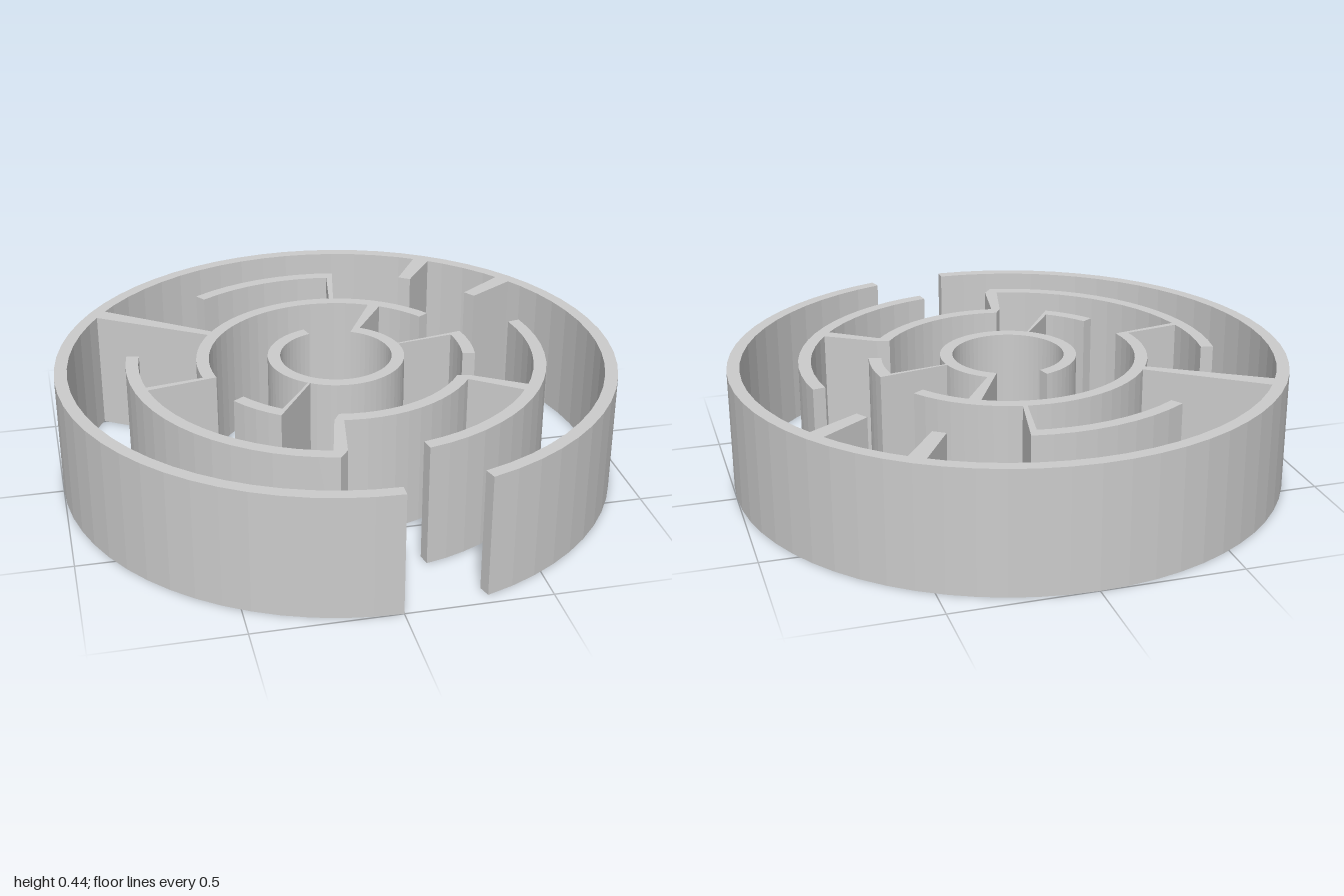
import * as THREE from 'three';

const HEIGHT = 0.44;
const STEP = 5.625; // one facet of the 64-sided rings, in degrees
const HALF = 1.875; // half the angular width of a dividing wall
const material = new THREE.MeshStandardMaterial({ color: 0xcccccc, flatShading: true });

// Angles run from +x towards +z (clockwise seen from above).
const polar = (r, deg) => {
  const a = THREE.MathUtils.degToRad(deg);
  return new THREE.Vector2(r * Math.cos(a), r * Math.sin(a));
};

// Raises a plan outline (x, z) into a wall standing on y = 0.
function wall(name, points) {
  const geometry = new THREE.ExtrudeGeometry(new THREE.Shape(points), { depth: HEIGHT, bevelEnabled: false });
  geometry.rotateX(Math.PI / 2).translate(0, HEIGHT, 0);
  const mesh = new THREE.Mesh(geometry, material);
  mesh.name = name;
  return mesh;
}

// Curved wall between two angles.
function arcWall(name, inner, outer, from, to) {
  const n = Math.round((to - from) / STEP);
  const outside = [], inside = [];
  for (let i = 0; i <= n; i++) {
    const a = from + ((to - from) * i) / n;
    outside.push(polar(outer, a));
    inside.unshift(polar(inner, a));
  }
  return wall(name, [...outside, ...inside]);
}

// Wedge-shaped radial wall between two angles.
const spoke = (name, inner, outer, from, to) =>
  wall(name, [polar(inner, from), polar(outer, from), polar(outer, to), polar(inner, to)]);

// Radial wall whose ends taper to points where it meets the ends of two arcs.
const pointedSpoke = (name, mid) => wall(name, [
  polar(0.455, mid), polar(0.5, mid - HALF), polar(0.705, mid - HALF),
  polar(0.75, mid), polar(0.705, mid + HALF), polar(0.5, mid + HALF),
]);

export function createModel() {
  const model = new THREE.Group();
  model.name = 'circularMaze';

  // Concentric rings: inner radius, outer radius, then the arcs left between the openings
  const rings = [
    ['outerRing', 0.955, 1, [[90, 433.125]]],
    ['secondRing', 0.705, 0.75, [[-11.25, 78.75], [101.25, 191.25], [236.25, 281.25]]],
    ['thirdRing', 0.455, 0.5, [[-11.25, 11.25], [33.75, 101.25], [123.75, 146.25], [168.75, 326.25]]],
    ['innerRing', 0.2, 0.245, [[-61.875, 253.125]]],
  ];
  for (const [name, inner, outer, arcs] of rings) {
    const ring = new THREE.Group();
    ring.name = name;
    arcs.forEach(([from, to], i) => ring.add(arcWall(`${name}Arc${i + 1}`, inner, outer, from, to)));
    model.add(ring);
  }

  // Dividing walls: inner radius, outer radius, start and end angle
  const dividers = new THREE.Group();
  dividers.name = 'dividingWalls';
  const spokes = [
    ['longDivider', 0.49, 0.965, 213.75 - HALF, 213.75 + HALF],
    ['backStub', 0.75, 0.965, 303.75 - HALF, 303.75 + HALF],
    ['sideStub', 0.75, 0.965, 326.25 - HALF, 326.25 + HALF],
    ['backDivider', 0.49, 0.715, 281.25 - HALF, 281.25],
    ['rightDivider', 0.49, 0.715, 168.75, 168.75 + HALF],
    ['innerFrontDivider', 0.235, 0.465, 123.75, 123.75 + HALF],
    ['innerLeftDivider', 0.235, 0.465, -11.25, -11.25 + HALF],
    ['innerBackDivider', 0.235, 0.465, -61.875, -56.25],
  ];
  for (const s of spokes) dividers.add(spoke(...s));
  dividers.add(pointedSpoke('frontLeftDivider', 33.75), pointedSpoke('frontRightDivider', 101.25));
  model.add(dividers);

  return model;
}
